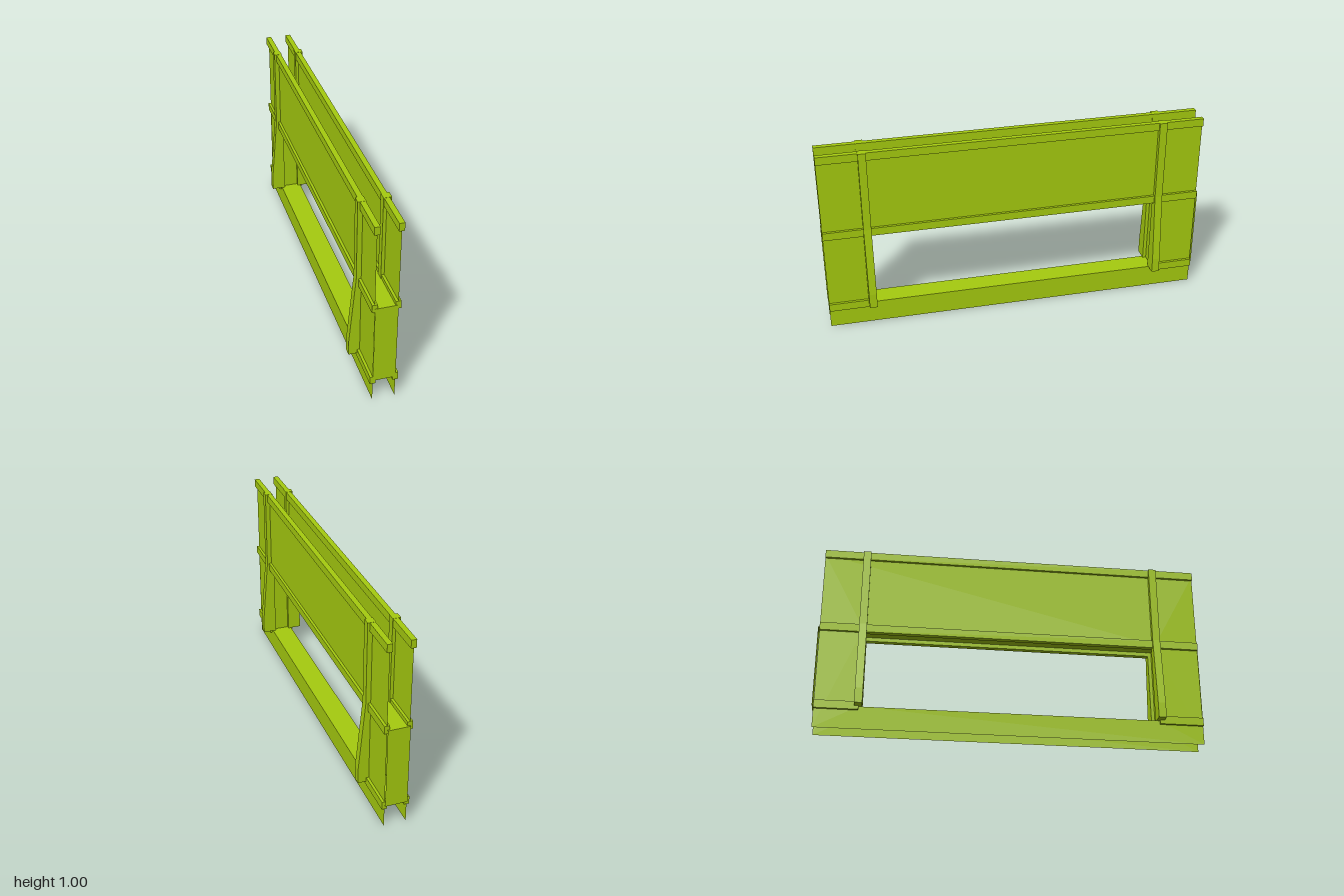
import * as THREE from 'three';

const material = new THREE.MeshStandardMaterial({ color: 0xa6cc0f, side: THREE.DoubleSide, flatShading: true });
const PANEL_X = 0.056;           // offset of each side panel
const FLOOR_Y = 0.12, DECK_Y = 0.55;
const OPENING_Z = 0.77;          // half length of the side opening
const BACK = -0.992, FRONT = 0.998;

function add(parent, name, geometry, x = 0, y = 0, z = 0) {
  const mesh = new THREE.Mesh(geometry, material);
  mesh.name = name;
  mesh.position.set(x, y, z);
  parent.add(mesh);
  return mesh;
}

function outline(points) {
  return points.map(([a, b]) => new THREE.Vector2(a, b));
}

// Thin side panel with a rectangular opening, turned so its length runs along z
function panelGeometry() {
  const shape = new THREE.Shape(outline([[-FRONT, 0], [-BACK, 0], [-BACK, 0.976], [-FRONT, 0.976]]));
  const o = OPENING_Z;
  shape.holes.push(new THREE.Path(outline([[-o, FLOOR_Y], [-o, DECK_Y], [o, DECK_Y], [o, FLOOR_Y]])));
  return new THREE.ShapeGeometry(shape).rotateY(Math.PI / 2);
}

// Upright rib that flares outward towards its foot
function ribGeometry(side) {
  const profile = [[0.04, FLOOR_Y], [0.112, FLOOR_Y], [0.112, 0.2], [0.08, 0.57], [0.08, 0.997], [0.04, 0.997]];
  const shape = new THREE.Shape(outline(profile.map(([x, y]) => [x * side, y])));
  return new THREE.ExtrudeGeometry(shape, { depth: 0.04, bevelEnabled: false }).translate(0, 0, -0.02);
}

// Rail that straddles a side panel between two z positions
function addRail(parent, name, x, y, z0, z1) {
  add(parent, name, new THREE.BoxGeometry(0.027, 0.042, z1 - z0), x, y, (z0 + z1) / 2);
}

export function createModel() {
  const model = new THREE.Group();
  model.name = 'barrierSegment';

  for (const side of [1, -1]) {
    const wall = new THREE.Group();
    wall.name = side > 0 ? 'leftSide' : 'rightSide';
    const x = side * PANEL_X;
    add(wall, 'sidePanel', panelGeometry(), x);
    addRail(wall, 'topRail', x, 0.975, BACK, FRONT);
    addRail(wall, 'middleRail', x, 0.55, BACK, FRONT);
    addRail(wall, 'frontLowerRail', x, 0.121, OPENING_Z, FRONT);
    addRail(wall, 'backLowerRail', x, 0.121, BACK, -OPENING_Z);
    for (const end of [1, -1]) {
      add(wall, end > 0 ? 'frontRib' : 'backRib', ribGeometry(side), 0, 0, end * 0.772);
    }
    model.add(wall);
  }

  // Deck and floor sheets between the side panels
  const sheet = new THREE.PlaneGeometry(2 * PANEL_X, 2).rotateX(-Math.PI / 2);
  add(model, 'deck', sheet, 0, DECK_Y);
  add(model, 'floor', sheet, 0, FLOOR_Y);

  // Walls closing the hollow legs on their outer and inner faces
  const endWall = new THREE.PlaneGeometry(2 * PANEL_X, DECK_Y - FLOOR_Y);
  const midY = (DECK_Y + FLOOR_Y) / 2;
  for (const end of [1, -1]) {
    add(model, 'outerEndWall', endWall, 0, midY, end).rotation.y = end > 0 ? 0 : Math.PI;
    add(model, 'innerEndWall', endWall, 0, midY, end * OPENING_Z).rotation.y = end > 0 ? Math.PI : 0;
  }
  return model;
}
